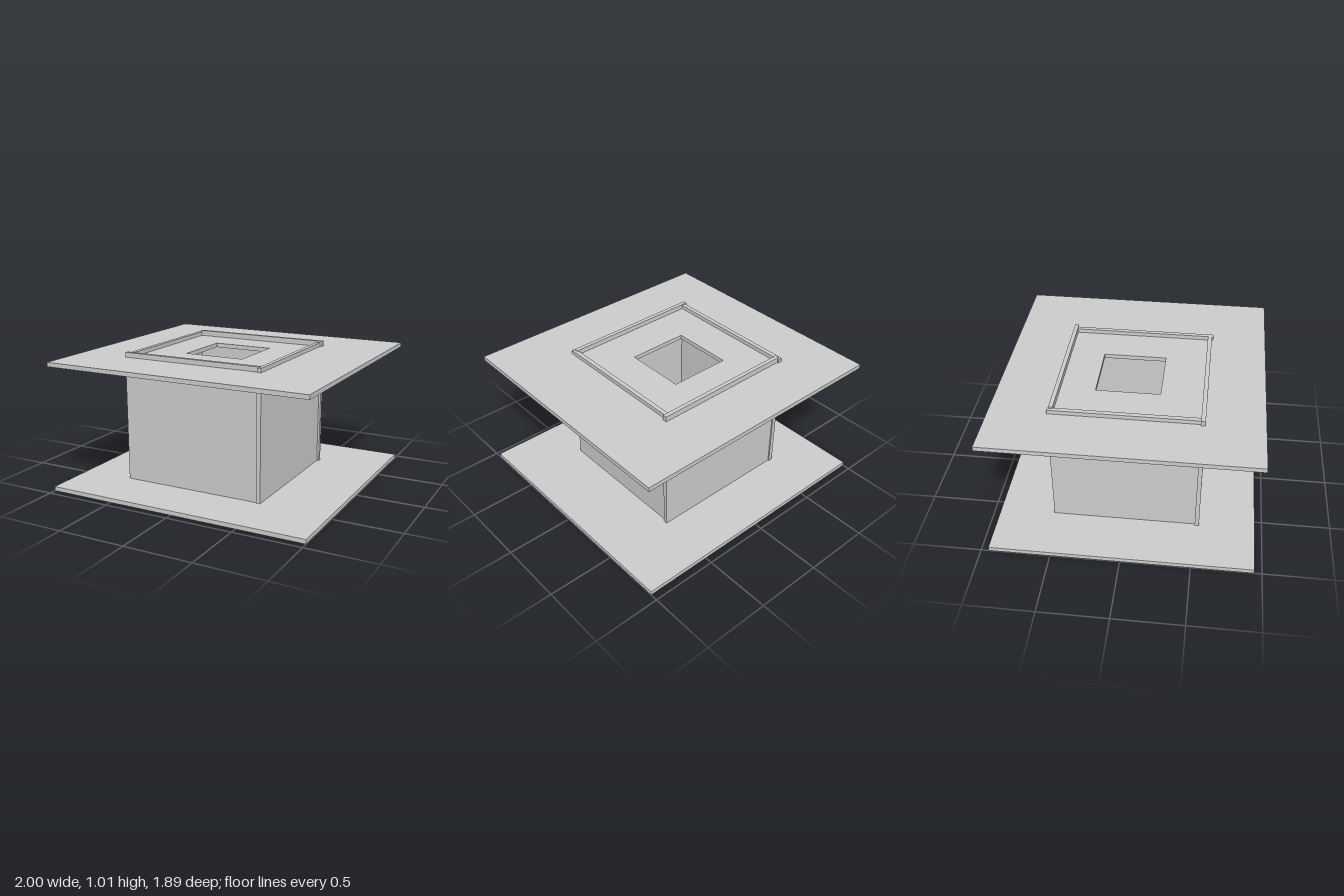
import * as THREE from 'three';

export function createModel() {
  const group = new THREE.Group();
  const material = new THREE.MeshStandardMaterial({ color: 0xcccccc, flatShading: true });

  const add = (name, geometry) => {
    const mesh = new THREE.Mesh(geometry, material);
    mesh.name = name;
    group.add(mesh);
    return mesh;
  };

  // Box given by its limits on each axis
  const slab = (name, [x0, x1], [y0, y1], [z0, z1]) =>
    add(name, new THREE.BoxGeometry(x1 - x0, y1 - y0, z1 - z0))
      .position.set((x0 + x1) / 2, (y0 + y1) / 2, (z0 + z1) / 2);

  const depth = 0.945, thickness = 0.032;

  // Solid floor plate
  slab('bottomPlate', [-1, 1], [0, thickness], [-depth, depth]);

  // Upper plate with an off-centre square opening (shape y becomes -z)
  const plate = new THREE.Shape([[-1, -depth], [1, -depth], [1, depth], [-1, depth]]
    .map(([x, y]) => new THREE.Vector2(x, y)));
  plate.holes.push(new THREE.Path([[-0.29, -0.21], [-0.29, 0.25], [0.17, 0.25], [0.17, -0.21]]
    .map(([x, y]) => new THREE.Vector2(x, y))));
  const top = new THREE.ExtrudeGeometry(plate, { depth: thickness, bevelEnabled: false });
  top.rotateX(-Math.PI / 2).translate(0, 0.934, 0);
  add('topPlate', top);

  // Four slightly staggered walls, rising through the upper plate
  const base = 0.02;
  slab('frontWall', [-0.613, 0.467], [base, 1.002], [0.508, 0.539]);
  slab('backWall', [-0.577, 0.503], [base, 1.007], [-0.53, -0.5]);
  slab('leftWall', [0.455, 0.487], [base, 0.996], [-0.5, 0.549]);
  slab('rightWall', [-0.6, -0.567], [base, 0.996], [-0.54, 0.508]);

  return group;
}
